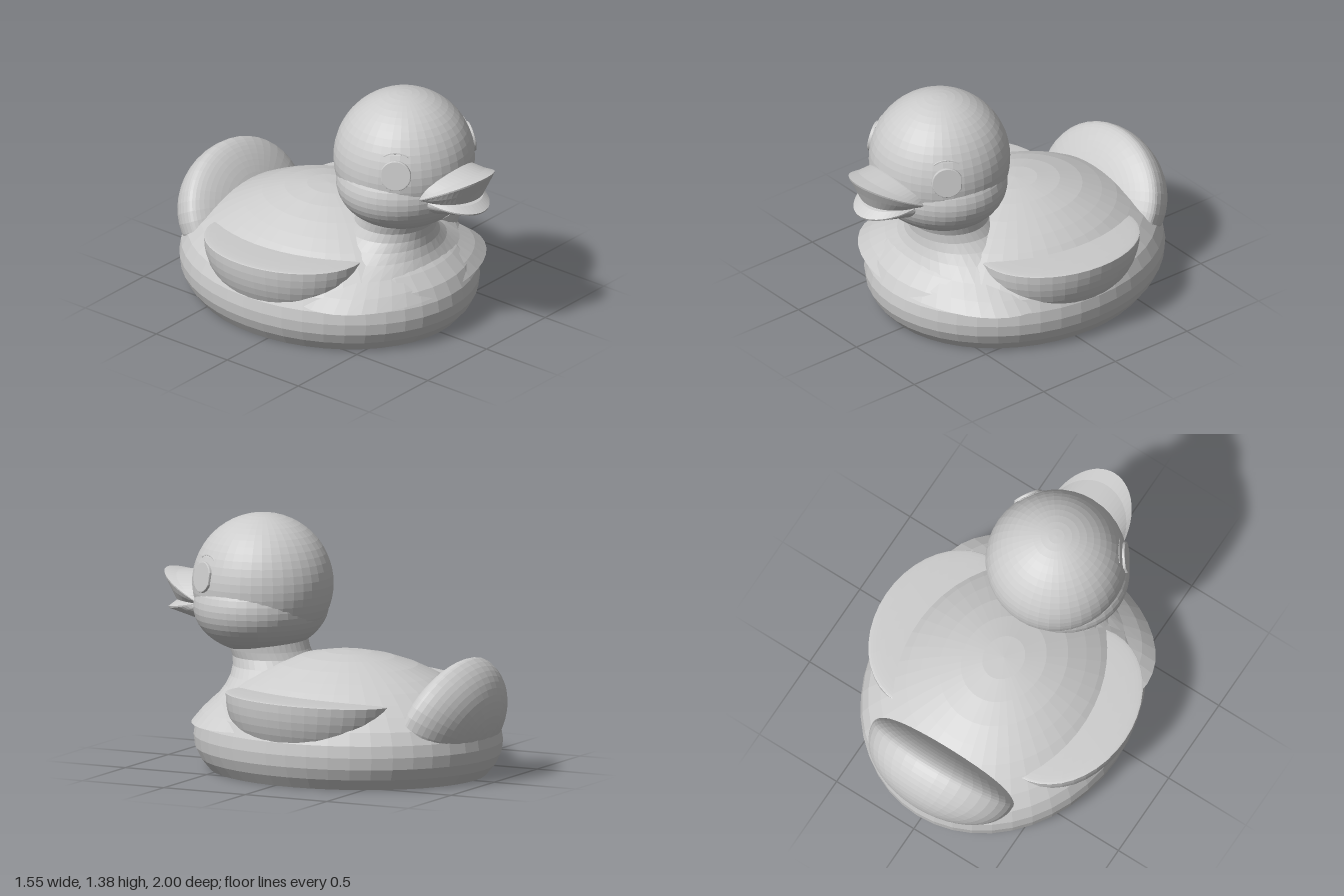
import * as THREE from 'three';

const material = new THREE.MeshStandardMaterial({ color: 0xcccccc, flatShading: true, side: THREE.DoubleSide });

function add(parent, name, geometry) {
  const mesh = new THREE.Mesh(geometry, material);
  mesh.name = name;
  parent.add(mesh);
  return mesh;
}

// Surface through rows of points; row(k, t) gives [x, y, z] for t in 0..1
function loft(rowCount, cols, point) {
  const pos = [], index = [];
  for (let k = 0; k < rowCount; k++) {
    for (let j = 0; j <= cols; j++) pos.push(...point(k, j / cols));
  }
  for (let k = 0; k < rowCount - 1; k++) {
    for (let j = 0; j < cols; j++) {
      const a = k * (cols + 1) + j, b = a + 1, c = b + cols + 1, d = a + cols + 1;
      index.push(a, b, c, a, c, d);
    }
  }
  const g = new THREE.BufferGeometry();
  g.setAttribute('position', new THREE.Float32BufferAttribute(pos, 3));
  g.setIndex(index);
  g.computeVertexNormals();
  return g;
}

// Ellipsoid whose halves may differ: each axis takes [negative, positive] radii
function unevenBall(rx, ry, rz, poleAlongZ = false) {
  const g = new THREE.SphereGeometry(1, 40, 28);
  if (poleAlongZ) g.rotateX(Math.PI / 2);
  const p = g.attributes.position;
  const stretch = (v, r) => v * (v < 0 ? r[0] : r[1]);
  for (let i = 0; i < p.count; i++) {
    p.setXYZ(i, stretch(p.getX(i), rx), stretch(p.getY(i), ry), stretch(p.getZ(i), rz));
  }
  g.computeVertexNormals();
  return g;
}

// Half-oval bill: each section is [halfWidth, sideY, rise, rootZ, reach]
function bill(sections) {
  return loft(sections.length, 28, (k, t) => {
    const a = (t - 0.5) * Math.PI;
    const [w, y, rise, z, reach] = sections[k];
    return [w * Math.sin(a), y + rise * Math.cos(a), z + reach * Math.cos(a)];
  });
}

export function createModel() {
  const model = new THREE.Group();
  model.name = 'bathDuck';

  // Flat-bottomed oval body
  const profile = [
    [0, 0], [0.895, 0], [0.955, 0.06], [0.99, 0.12], [1, 0.185], [0.988, 0.25], [0.945, 0.32],
    [0.86, 0.39], [0.77, 0.445], [0.68, 0.495], [0.58, 0.54], [0.45, 0.59], [0.3, 0.63], [0.15, 0.653], [0, 0.66],
  ].map(([r, y]) => new THREE.Vector2(r, y));
  const bodyGeometry = new THREE.LatheGeometry(profile, 44);
  bodyGeometry.scale(0.738, 1, 0.867);
  add(model, 'body', bodyGeometry).position.z = -0.105;

  // Neck flaring into the chest: [y, half width, front z, back z]
  const neck = [
    [0.27, 0.66, 0.735, -0.12], [0.33, 0.58, 0.69, -0.08], [0.39, 0.48, 0.625, -0.04], [0.45, 0.37, 0.592, 0],
    [0.5, 0.3, 0.575, 0.05], [0.55, 0.25, 0.57, 0.1], [0.6, 0.228, 0.574, 0.14], [0.64, 0.232, 0.59, 0.16], [0.7, 0.24, 0.6, 0.18],
  ];
  add(model, 'neck', loft(neck.length, 40, (k, t) => {
    const [y, w, front, back] = neck[k];
    const a = t * Math.PI * 2;
    return [w * Math.sin(a), y, (front + back) / 2 + (front - back) / 2 * Math.cos(a)];
  }));

  // Round head with fuller cheeks
  const headCentre = new THREE.Vector3(0, 0.99, 0.42);
  add(model, 'head', new THREE.SphereGeometry(0.385, 40, 28)).position.copy(headCentre);
  const cheeks = add(model, 'cheeks', new THREE.SphereGeometry(1, 40, 24));
  cheeks.scale.set(0.405, 0.265, 0.36);
  cheeks.position.set(0, 0.875, 0.43);

  // Open bill
  add(model, 'upperBill', bill([
    [0.2, 0.88, 0, 0.66, 0], [0.2, 0.88, 0.004, 0.7, 0.23], [0.225, 0.885, 0.07, 0.7, 0.262],
    [0.235, 0.89, 0.135, 0.7, 0.297], [0.235, 0.895, 0.143, 0.7, 0.3],
    [0.23, 0.9, 0.13, 0.7, 0.22], [0.225, 0.905, 0.13, 0.69, 0.12], [0.2, 0.9, 0.13, 0.66, 0],
  ]));
  add(model, 'lowerBill', bill([
    [0.2, 0.87, -0.107, 0.66, 0], [0.2, 0.87, -0.105, 0.7, 0.06], [0.2, 0.875, -0.08, 0.7, 0.18],
    [0.195, 0.88, -0.063, 0.7, 0.275], [0.195, 0.885, -0.058, 0.7, 0.28],
    [0.19, 0.885, -0.02, 0.7, 0.23], [0.18, 0.88, 0, 0.7, 0.17], [0.18, 0.88, 0, 0.66, 0],
  ]));

  // Eyes with a wedge cut towards the back, and faint brows
  const eyeShape = new THREE.Shape();
  const notch = 0.42;
  eyeShape.moveTo(-0.015, 0);
  eyeShape.absarc(0, 0, 0.08, notch, Math.PI * 2 - notch, false);
  eyeShape.closePath();
  for (const side of [1, -1]) {
    const eye = new THREE.Group();
    eye.name = side > 0 ? 'leftEye' : 'rightEye';
    eye.position.copy(headCentre);
    eye.lookAt(headCentre.clone().add(new THREE.Vector3(side * 0.315, 0.06, 0.2)));
    const disc = new THREE.ExtrudeGeometry(eyeShape, {
      depth: 0.03, bevelSize: 0.005, bevelThickness: 0.005, bevelSegments: 2, curveSegments: 28,
    });
    disc.translate(0, 0, 0.355);
    if (side < 0) disc.rotateZ(Math.PI);
    add(eye, 'eyeDisc', disc);
    const brow = new THREE.TorusGeometry(0.122, 0.006, 6, 16, 1.2);
    brow.rotateZ(Math.PI / 2 - 0.6);
    brow.translate(0, 0, 0.361);
    add(eye, 'brow', brow);
    model.add(eye);
  }

  // Flat-topped wings
  for (const side of [1, -1]) {
    const wing = add(model, side > 0 ? 'leftWing' : 'rightWing',
      unevenBall([0.375, 0.375], [0.4, 0.015], [0.485, 0.485]));
    wing.position.set(side * 0.4, 0.45, -0.085);
    wing.rotation.set(-0.03, 0, side * 0.04);
  }

  // Upturned tail: a leaning lens with a sharp rim
  const tail = add(model, 'tail', unevenBall([0.45, 0.45], [0.29, 0.367], [0.28, 0.12], true));
  tail.position.set(0, 0.34, -0.7);
  tail.rotation.x = -0.48;

  return model;
}
